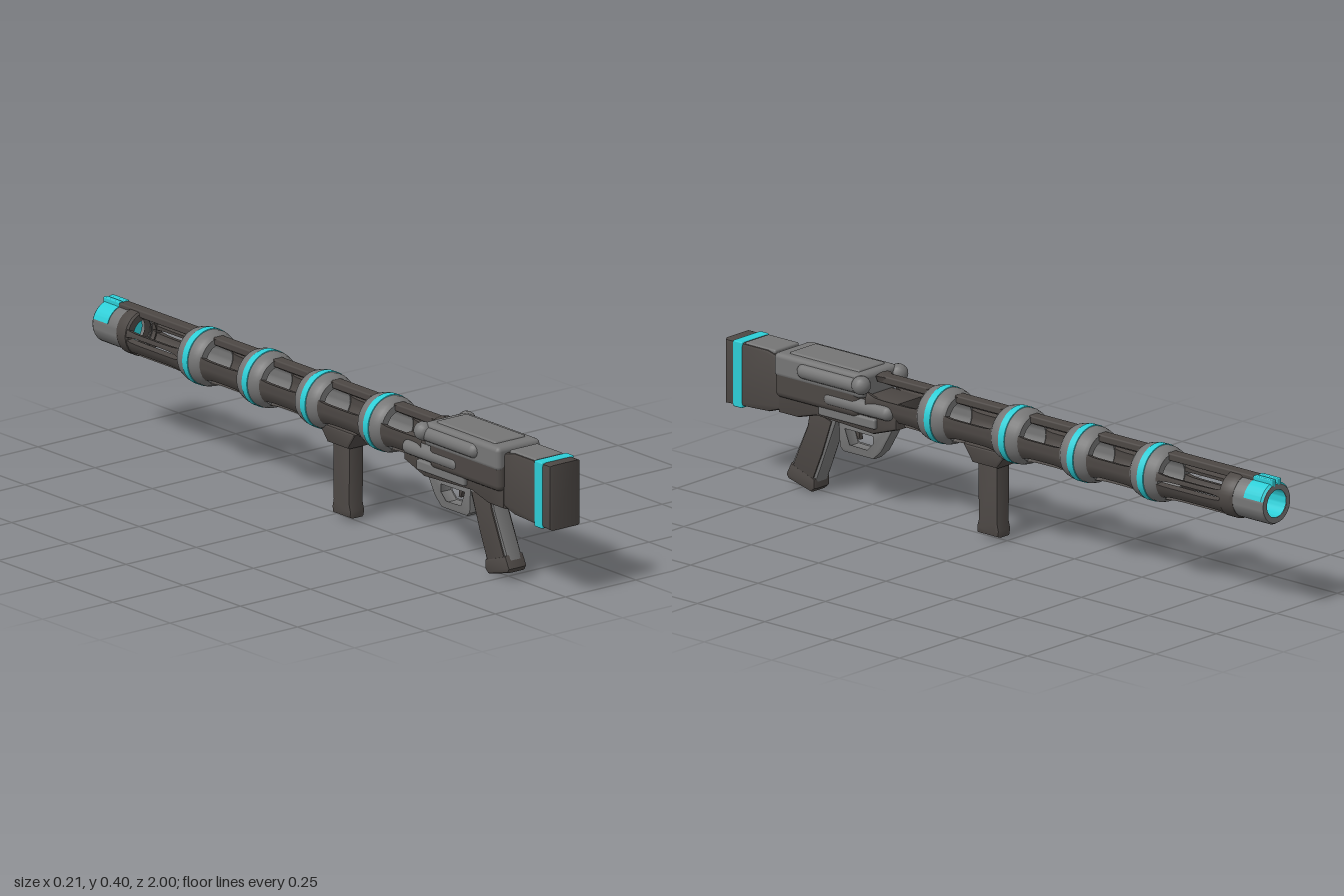
import * as THREE from 'three';
import { toCreasedNormals } from 'three/addons/utils/BufferGeometryUtils.js';
import { RoundedBoxGeometry } from 'three/addons/geometries/RoundedBoxGeometry.js';

const AXIS_Y = 0.318; // height of the barrel axis

export function createModel() {
  const model = new THREE.Group();
  const mat = (name, color) => {
    const m = new THREE.MeshStandardMaterial({ color, side: THREE.DoubleSide });
    m.name = name;
    return m;
  };
  const dark = mat('dark gunmetal', 0x4c4744);
  const grey = mat('mid grey', 0x757575);
  const cyan = mat('cyan accent', 0x2ccdd6);

  const add = (name, geo, material, x = 0, y = 0, z = 0) => {
    const mesh = new THREE.Mesh(geo, material);
    mesh.name = name;
    mesh.position.set(x, y, z);
    model.add(mesh);
    return mesh;
  };
  // rounded box given by its limits
  const block = (name, m, x0, x1, y0, y1, z0, z1, r = 0.008) =>
    add(name, new RoundedBoxGeometry(x1 - x0, y1 - y0, z1 - z0, 2, r), m,
      (x0 + x1) / 2, (y0 + y1) / 2, (z0 + z1) / 2);
  // side profile of [z, y] points, extruded across x
  const profile = (name, m, pts, half, bevel = 0.008, hole = null, x = 0) => {
    const v = (a) => a.map(([z, y]) => new THREE.Vector2(z, y));
    const shape = new THREE.Shape(v(pts));
    if (hole) shape.holes.push(new THREE.Path(v(hole)));
    const depth = 2 * (half - bevel);
    const geo = new THREE.ExtrudeGeometry(shape, {
      depth, bevelEnabled: bevel > 0, bevelSize: bevel, bevelThickness: bevel,
      bevelOffset: -bevel, bevelSegments: 2,
    });
    geo.translate(0, 0, -depth / 2).rotateY(-Math.PI / 2);
    return add(name, toCreasedNormals(geo, 0.7), m, x);
  };
  // profile of [radius, z] points turned around the barrel axis
  const turned = (name, m, pts, z = 0, start = 0, sweep = Math.PI * 2) => {
    const geo = new THREE.LatheGeometry(pts.map(([r, h]) => new THREE.Vector2(r, h)), 40, start, sweep);
    geo.rotateX(Math.PI / 2);
    return add(name, toCreasedNormals(geo, 0.6), m, 0, AXIS_Y, z);
  };
  const rod = (name, m, r, z0, z1, x, y) => {
    const geo = new THREE.CapsuleGeometry(r, z1 - z0 - 2 * r, 5, 16).rotateX(Math.PI / 2);
    return add(name, geo, m, x, y, (z0 + z1) / 2);
  };
  // curved cage bar: an arc section between two angles that flares at its ends
  const cageBar = (name, z0, z1, deg0, deg1, flareEnd = 1) => {
    const steps = 16, arc = 5, pos = [], idx = [], n = 2 * (arc + 1);
    const mid = THREE.MathUtils.degToRad((deg0 + deg1) / 2);
    const half = THREE.MathUtils.degToRad((deg1 - deg0) / 2);
    for (let k = 0; k <= steps; k++) {
      const t = k / steps, s = Math.abs(2 * t - 1);
      const f = Math.pow(s, 4) * (t < 0.5 ? flareEnd : 1);
      const r = 0.064 + 0.011 * f, h = half + 0.2 * Math.pow(s, 5);
      for (let i = 0; i < n; i++) {
        const outer = i <= arc;
        const a = mid + h * (outer ? 2 * i / arc - 1 : 1 - 2 * (i - arc - 1) / arc);
        const rr = outer ? r : r - 0.02;
        pos.push(rr * Math.cos(a), rr * Math.sin(a), z0 + (z1 - z0) * t);
      }
    }
    for (let k = 0; k < steps; k++) for (let i = 0; i < n; i++) {
      const a = k * n + i, d = k * n + (i + 1) % n;
      idx.push(a, d, a + n, d, d + n, a + n);
    }
    const geo = new THREE.BufferGeometry();
    geo.setAttribute('position', new THREE.Float32BufferAttribute(pos, 3));
    geo.setIndex(idx);
    return add(name, toCreasedNormals(geo, 0.7), dark, 0, AXIS_Y);
  };

  // stock with accent band and grey top
  profile('stock', dark, [[0.79, 0.225], [0.84, 0.208], [1, 0.2], [1, 0.388], [0.84, 0.388], [0.79, 0.375]], 0.055, 0.01);
  block('stockBand', cyan, -0.0575, 0.0575, 0.199, 0.3905, 0.933, 0.967, 0.004);
  block('stockTop', grey, -0.05, 0.05, 0.37, 0.391, 0.815, 0.93, 0.006);

  // receiver: dark lower body, wider middle and grey cover
  profile('lowerReceiver', dark, [[0.8, 0.215], [0.73, 0.215], [0.66, 0.235], [0.45, 0.225], [0.36, 0.255], [0.36, 0.33], [0.8, 0.34]], 0.058, 0.01);
  block('receiverMiddle', dark, -0.075, 0.075, 0.265, 0.36, 0.49, 0.8, 0.018);
  block('receiverCover', grey, -0.077, 0.077, 0.325, 0.395, 0.47, 0.8, 0.014);
  block('topPlate', grey, -0.055, 0.055, 0.38, 0.4, 0.5, 0.76, 0.007);
  for (const s of [-1, 1]) {
    rod('sideTube', grey, 0.022, 0.46, 0.71, s * 0.07, 0.362);
    rod('sideKnob', grey, 0.027, 0.445, 0.5, s * 0.077, 0.368);
    rod('lowerSideTube', grey, 0.022, 0.37, 0.62, s * 0.058, 0.3);
    block('sideRib', grey, s * 0.058 - 0.012, s * 0.058 + 0.012, 0.245, 0.275, 0.43, 0.64, 0.006);
  }

  // rear grip with dark side panels and foot
  profile('rearGrip', grey, [[0.71, 0.25], [0.72, 0.19], [0.785, 0.05], [0.79, 0.03], [0.7, 0.003], [0.69, 0.02], [0.65, 0.12], [0.6, 0.25]], 0.027, 0.01);
  for (const s of [-1, 1])
    profile('gripPanel', dark, [[0.705, 0.24], [0.712, 0.19], [0.772, 0.055], [0.7, 0.025], [0.66, 0.12], [0.625, 0.22]], 0.004, 0.002, null, s * 0.0265);
  profile('gripFoot', dark, [[0.775, 0.07], [0.793, 0.035], [0.785, 0.022], [0.7, 0], [0.686, 0.012], [0.686, 0.04]], 0.033, 0.008);

  // trigger guard and trigger
  profile('triggerGuard', grey, [[0.61, 0.25], [0.605, 0.15], [0.59, 0.138], [0.48, 0.138], [0.45, 0.165], [0.4, 0.25]], 0.02, 0.005,
    [[0.59, 0.21], [0.57, 0.158], [0.5, 0.156], [0.475, 0.18], [0.475, 0.21]]);
  profile('trigger', dark, [[0.565, 0.22], [0.55, 0.18], [0.54, 0.18], [0.545, 0.22]], 0.007, 0.002);

  // barrel rings with accent bands
  const rings = [0.225, -0.05, -0.305, -0.565];
  for (const z of rings) {
    turned('barrelRing', grey, [[0.046, -0.052], [0.066, -0.052], [0.075, -0.042], [0.08, -0.025], [0.08, 0.025],
      [0.075, 0.042], [0.066, 0.052], [0.046, 0.052], [0.046, -0.052]], z);
    turned('ringBand', cyan, [[0.078, -0.013], [0.082, -0.011], [0.082, 0.011], [0.078, 0.013]], z);
  }

  // open cage between the rings
  const stops = [0.46, ...rings];
  for (let i = 0; i < rings.length; i++) {
    const z1 = stops[i] - (i ? 0.03 : 0), z0 = stops[i + 1] + 0.03;
    cageBar('rightCageBar', z0, z1, 144 + 22, 222);
    cageBar('leftCageBar', z0, z1, -42, 14);
    cageBar('bottomCageBar', z0, z1, 248, 292);
    cageBar('topCageBar', z0, z1, 77, 103);
  }

  // slotted front section
  for (const [a, b] of [[4, 16], [-45, -12], [164, 176], [192, 225], [248, 292]])
    cageBar('frontCageBar', -0.87, -0.59, a, b, 0);
  turned('frontCollar', dark, [[0.04, -0.03], [0.061, -0.03], [0.066, -0.02], [0.066, 0.015], [0.06, 0.02], [0.04, 0.02]], -0.86);
  block('topRail', dark, -0.018, 0.018, 0.365, 0.387, -0.935, 0.47, 0.005);

  // muzzle, lit bore and sight
  turned('muzzle', grey, [[0.04, -1], [0.056, -1], [0.06, -0.993], [0.06, -0.86], [0.04, -0.86]]);
  turned('bore', cyan, [[0, -0.9], [0.04, -0.9], [0.04, -0.999]]);
  turned('muzzlePatch', cyan, [[0.056, -0.9995], [0.0615, -0.993], [0.0615, -0.93], [0.058, -0.93]], 0, Math.PI - 1.3, 2.6);
  for (const s of [-1, 1])
    block('sightRidge', cyan, s * 0.011 - 0.008, s * 0.011 + 0.008, 0.365, 0.389, -1, -0.93, 0.003);

  // forward grip
  profile('foreGripMount', dark, [[0.13, 0.265], [0.095, 0.215], [0.005, 0.215], [-0.035, 0.265]], 0.04, 0.008);
  profile('foreGrip', dark, [[0.088, 0.24], [0.086, 0.05], [0.092, 0.03], [0.09, 0.01], [0.01, 0.01], [0.008, 0.03], [0.013, 0.05], [0.012, 0.24]], 0.027, 0.01);

  return model;
}
